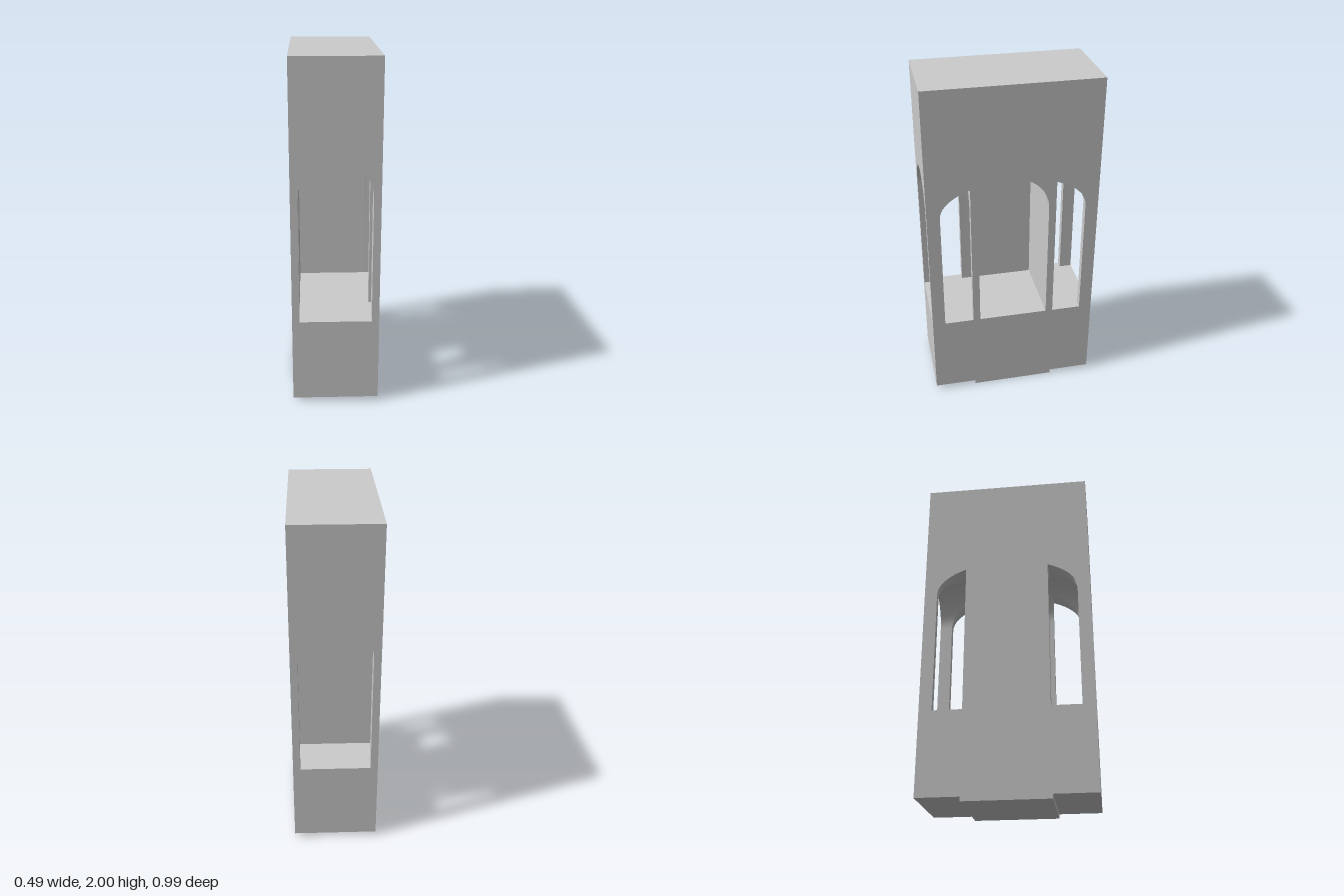
import * as THREE from 'three';
import { toCreasedNormals } from 'three/addons/utils/BufferGeometryUtils.js';

const X = 0.247, Z = 0.495;        // outer half sizes
const RX = 0.205, RZ = 0.42;       // inner half sizes, also the arch half spans
const FLOOR = 0.515, SPRING = 1.25, RISE = 0.2, TOP = 2, FOOT = 0.025;
const STEP = Math.PI / 30;         // arch segment angle

export function createModel() {
  const group = new THREE.Group();
  const material = new THREE.MeshStandardMaterial({ color: 0xcccccc });

  const add = (name, geometry) => {
    const mesh = new THREE.Mesh(geometry, material);
    mesh.name = name;
    group.add(mesh);
    return mesh;
  };

  const box = (name, x0, x1, y0, y1, z0, z1) =>
    add(name, new THREE.BoxGeometry(x1 - x0, y1 - y0, z1 - z0))
      .position.set((x0 + x1) / 2, (y0 + y1) / 2, (z0 + z1) / 2);

  // Upright plate with an arched opening, extruded along z from 0 to depth
  const archedPlate = (half, span, bottom, depth) => {
    const shape = new THREE.Shape();
    shape.moveTo(-half, bottom).lineTo(half, bottom).lineTo(half, TOP).lineTo(-half, TOP).closePath();
    const hole = new THREE.Path();
    hole.moveTo(-span, FLOOR).lineTo(span, FLOOR).lineTo(span, SPRING);
    hole.absellipse(0, SPRING, span, RISE, 0, Math.PI, false);
    hole.closePath();
    shape.holes.push(hole);
    const geo = new THREE.ExtrudeGeometry(shape, { depth, bevelEnabled: false, curveSegments: 15 });
    return toCreasedNormals(geo, 0.5);
  };

  // Underside of two crossing barrel vaults; i and j count arch segments from the crown
  const vault = (name, rx, rz, j0, j1) => {
    const positions = [], n = 15;
    const point = (i, j) => {
      const u = Math.sin(i * STEP), v = Math.sin(j * STEP);
      const m = Math.min(Math.abs(u), Math.abs(v));
      return [u * rx, SPRING + RISE * Math.sqrt(Math.max(0, 1 - m * m)), v * rz];
    };
    for (let i = -n; i < n; i++) {
      for (let j = j0; j < j1; j++) {
        const a = point(i, j), b = point(i + 1, j), c = point(i + 1, j + 1), d = point(i, j + 1);
        // split each cell along the groin
        const sameSign = (i + 0.5) * (j + 0.5) > 0;
        positions.push(...(sameSign ? [a, b, c, a, c, d] : [a, b, d, b, c, d]).flat());
      }
    }
    const geo = new THREE.BufferGeometry();
    geo.setAttribute('position', new THREE.Float32BufferAttribute(positions, 3));
    add(name, toCreasedNormals(geo, 0.5));
  };

  // Solid base, raised foot and roof block
  box('base', -X, X, FOOT, FLOOR, -Z, Z);
  box('foot', -X, X, 0, FOOT, -X, X);
  box('roof', -X, X, SPRING + RISE + 0.005, TOP, -Z, Z);

  // Outer end walls with round arches
  add('frontWall', archedPlate(X, RX, FOOT, Z - RZ)).position.z = RZ;
  add('backWall', archedPlate(X, RX, FOOT, Z - RZ)).position.z = -Z;

  // Outer side walls with wide elliptical arches
  for (const [name, x] of [['leftWall', RX], ['rightWall', -X]]) {
    add(name, archedPlate(Z, RZ, FOOT, X - RX).rotateY(Math.PI / 2)).position.x = x;
  }

  // Central chamber: arches to the front and left, solid to the back and right
  add('chamberFrontArch', archedPlate(X, RX, 0, X - RX)).position.z = RX;
  add('chamberSideArch', archedPlate(X, RX, 0, X - RX).rotateY(Math.PI / 2)).position.x = RX;
  box('chamberBackWall', -X, X, 0, TOP, -X, -RX);
  box('chamberSideWall', -X, -RX, 0, TOP, -X, X);

  // Vaulted ceilings of the chamber and the two end bays
  vault('chamberVault', RX, RX, -15, 15);
  vault('frontBayVault', RX, RZ, 6, 15);
  vault('backBayVault', RX, RZ, -15, -6);

  return group;
}
